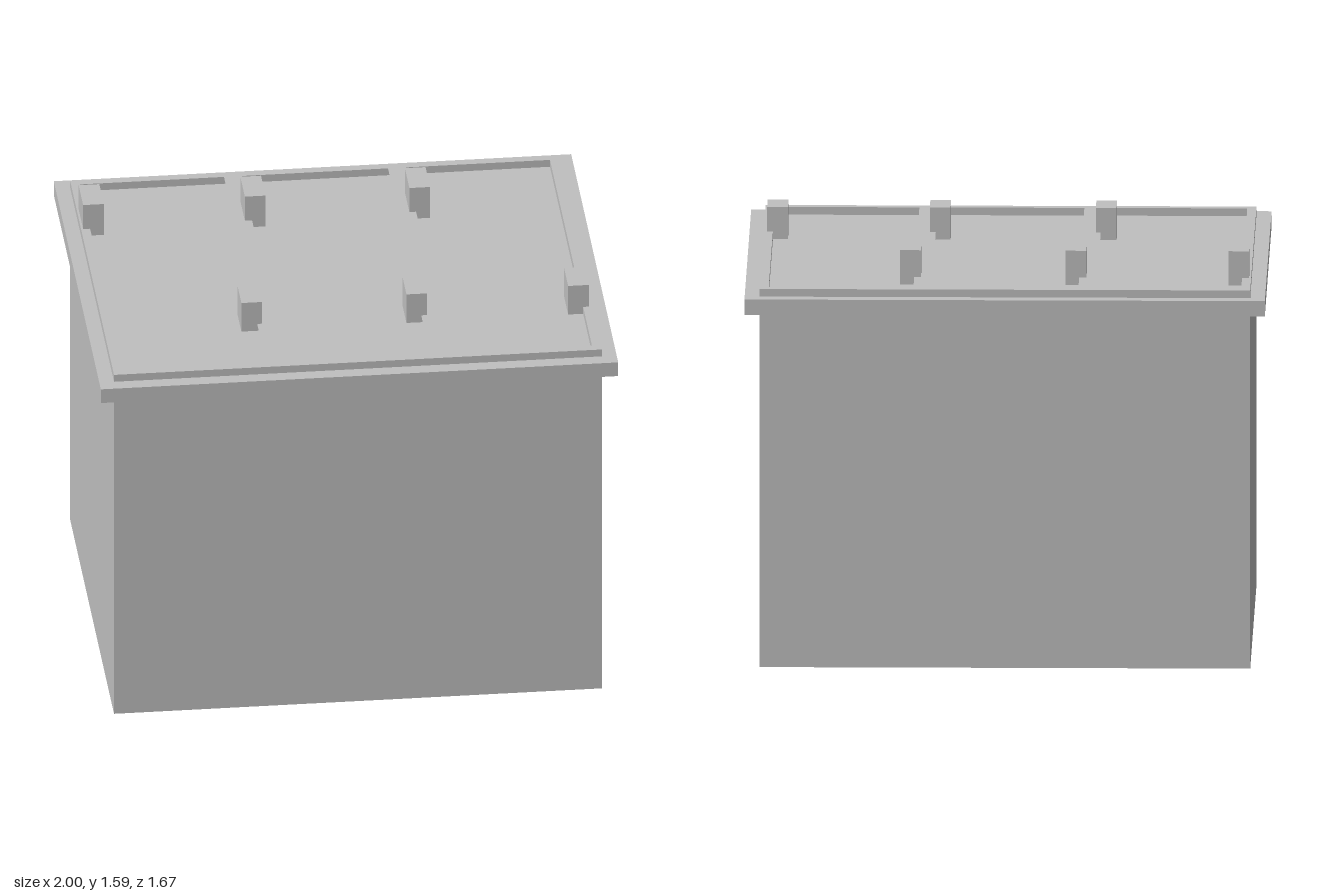
import * as THREE from 'three';

export function createModel() {
  const group = new THREE.Group();
  const grey = new THREE.MeshStandardMaterial({ color: 0xbfbfbf });
  grey.name = 'grey';
  const greySheet = new THREE.MeshStandardMaterial({ color: 0xbfbfbf, side: THREE.DoubleSide });
  greySheet.name = 'grey sheet';

  const add = (name, geometry, material = grey) => {
    const mesh = new THREE.Mesh(geometry, material);
    mesh.name = name;
    group.add(mesh);
    return mesh;
  };
  // Box given by its lower and upper limits
  const box = (name, x0, x1, y0, y1, z0, z1) =>
    add(name, new THREE.BoxGeometry(x1 - x0, y1 - y0, z1 - z0))
      .position.set((x0 + x1) / 2, (y0 + y1) / 2, (z0 + z1) / 2);

  const bodyX = 0.943, bodyZ = 0.782;
  const rimBottom = 1.395, floorY = 1.455, topY = 1.485;

  // Hollow body: four thin walls, open underneath
  for (let i = 0; i < 4; i++) {
    const side = i % 2;
    const wall = add('bodyWall',
      new THREE.PlaneGeometry(side ? bodyZ * 2 : bodyX * 2, rimBottom), greySheet);
    const angle = i * Math.PI / 2;
    const distance = side ? bodyX : bodyZ;
    wall.rotation.y = angle;
    wall.position.set(Math.sin(angle) * distance, rimBottom / 2, Math.cos(angle) * distance);
  }

  // Overhanging rim slab, whose top is the floor of the tray
  box('rim', -1, 1, rimBottom, floorY, -0.837, 0.837);

  // Raised frame around the tray
  const openX = 0.908, openZ = 0.746;
  const outline = new THREE.Shape([
    new THREE.Vector2(-bodyX, -bodyZ), new THREE.Vector2(bodyX, -bodyZ),
    new THREE.Vector2(bodyX, bodyZ), new THREE.Vector2(-bodyX, bodyZ),
  ]);
  outline.holes.push(new THREE.Path([
    new THREE.Vector2(-openX, -openZ), new THREE.Vector2(-openX, openZ),
    new THREE.Vector2(openX, openZ), new THREE.Vector2(openX, -openZ),
  ]));
  const frame = new THREE.ExtrudeGeometry(outline, { depth: topY - floorY, bevelEnabled: false });
  frame.rotateX(-Math.PI / 2);
  add('topFrame', frame).position.y = floorY;

  // Two thin strips dividing the top into three panels
  for (const x of [-0.317, 0.317]) {
    const strip = add('dividerStrip', new THREE.PlaneGeometry(0.07, openZ * 2), greySheet);
    strip.rotation.x = -Math.PI / 2;
    strip.position.set(x, topY, 0);
  }

  // Two terminal blocks per panel, at opposite edges
  for (const x of [-0.895, -0.27, 0.366])
    box('backTerminal', x - 0.04, x + 0.04, floorY, 1.59, -0.55, -0.39);
  for (const x of [-0.373, 0.265, 0.89])
    box('frontTerminal', x - 0.04, x + 0.04, floorY, 1.58, 0.292, 0.436);

  return group;
}
